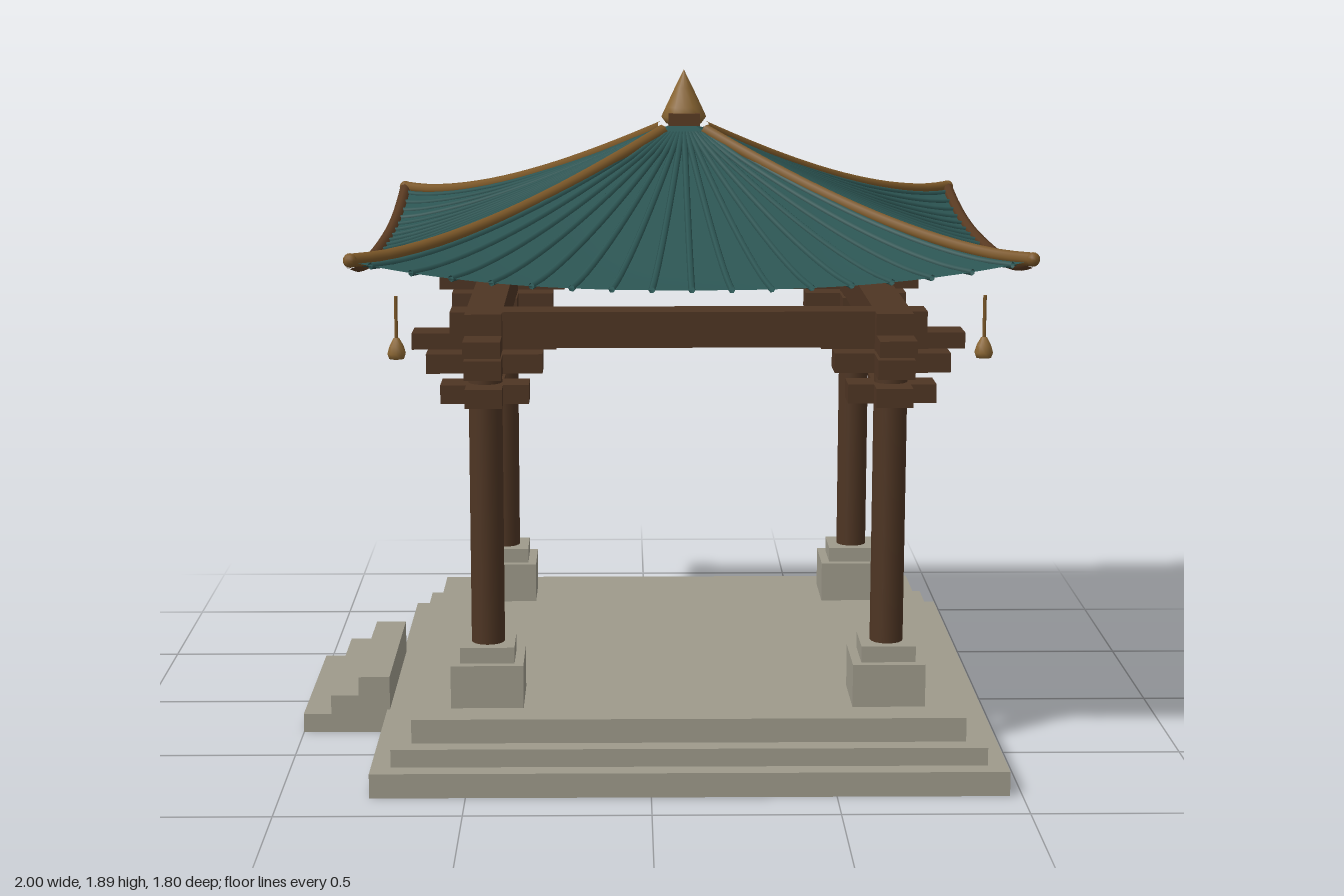
import * as THREE from 'three';

const mat = (name, color, opts = {}) => Object.assign(new THREE.MeshStandardMaterial({ color, ...opts }), { name });

const HALF = 0.88;   // half width of the roof
const POST = 0.553;  // column offset from the centre

// Height of the curved roof: s runs apex to eave, t runs along the eave (-1..1)
const roofY = (s, t) => 1.38 + 0.37 * Math.pow(1 - s, 1.25) + 0.075 * s ** 3 * Math.pow(Math.abs(t), 2.5);
const roofPoint = (s, t, lift = 0) => new THREE.Vector3(s * HALF * t, roofY(s, t) + lift, s * HALF);

export function createModel() {
  const stone = mat('stone', 0x9e9a8b);
  const wood = mat('darkWood', 0x4e3523);
  const eaveWood = mat('eaveWood', 0x5a3b22);
  const tile = mat('tealTile', 0x2c5553, { side: THREE.DoubleSide });
  const bronze = mat('bronze', 0x7b5728);
  const gold = mat('gold', 0x8a6633);

  const model = new THREE.Group();
  model.name = 'pavilion';
  const body = new THREE.Group();
  body.name = 'pavilionBody';
  body.position.x = 0.104;
  model.add(body);

  const add = (parent, name, geo, material, x = 0, y = 0, z = 0) => {
    const mesh = new THREE.Mesh(geo, material);
    mesh.name = name;
    mesh.position.set(x, y, z);
    parent.add(mesh);
    return mesh;
  };
  // Box given by its bottom and top heights
  const slab = (parent, name, material, w, y0, y1, d, x = 0, z = 0) =>
    add(parent, name, new THREE.BoxGeometry(w, y1 - y0, d), material, x, (y0 + y1) / 2, z);
  const tube = (parent, name, points, radius, material, sides = 8) =>
    add(parent, name, new THREE.TubeGeometry(new THREE.CatmullRomCurve3(points), 20, radius, sides), material);
  const lathe = (pts, sides) => new THREE.LatheGeometry(pts.map(p => new THREE.Vector2(...p)), sides);

  // Stepped platform
  [[0.862, 0, 0.068], [0.808, 0.068, 0.118], [0.755, 0.118, 0.185]].forEach(([h, y0, y1], i) =>
    slab(body, 'platformTier' + (i + 1), stone, h * 2, y0, y1, h * 2));

  // Entrance steps on the right side
  [[-1, -0.92, 0.055], [-0.92, -0.84, 0.11], [-0.84, -0.75, 0.165]].forEach(([x0, x1, top], i) =>
    slab(model, 'entranceStep' + (i + 1), stone, x1 - x0, 0, top, 0.59, (x0 + x1) / 2));

  // Columns with plinths, crossed brackets and hanging bells
  const bellGeo = lathe([[0, 1.182], [0.02, 1.184], [0.025, 1.198], [0.019, 1.218], [0.008, 1.238], [0, 1.242]], 10);
  for (const sx of [-1, 1]) for (const sz of [-1, 1]) {
    const corner = new THREE.Group();
    corner.name = 'cornerPost';
    corner.position.set(sx * POST, 0, sz * POST);
    body.add(corner);
    slab(corner, 'plinth', stone, 0.2, 0.185, 0.305, 0.2);
    slab(corner, 'plinthCap', stone, 0.15, 0.305, 0.35, 0.15);
    add(corner, 'column', new THREE.CylinderGeometry(0.046, 0.046, 0.9, 16), wood, 0, 0.8, 0);
    [[0.24, 1.028, 1.08], [0.315, 1.112, 1.165], [0.39, 1.178, 1.222]].forEach(([len, y0, y1]) => {
      slab(corner, 'bracketArmX', wood, len, y0, y1, 0.1);
      slab(corner, 'bracketArmZ', wood, 0.1, y0, y1, len);
    });
    const bell = new THREE.Group();
    bell.name = 'hangingBell';
    bell.position.set(sx * 0.221, 0, sz * 0.221);
    corner.add(bell);
    add(bell, 'bell', bellGeo, gold);
    add(bell, 'bellRod', new THREE.CylinderGeometry(0.005, 0.005, 0.12, 6), bronze, 0, 1.29, 0);
  }

  // Ring beams
  for (const s of [-1, 1]) {
    slab(body, 'beamX', wood, 1.29, 1.182, 1.28, 0.1, 0, s * POST);
    slab(body, 'beamZ', wood, 0.1, 1.182, 1.28, 1.29, s * POST, 0);
  }

  // Curved hipped roof: one side built by rule, turned four times
  const sideGeo = new THREE.PlaneGeometry(2, 1, 28, 18);
  const pos = sideGeo.attributes.position;
  for (let i = 0; i < pos.count; i++) {
    const p = roofPoint(0.5 - pos.getY(i), pos.getX(i));
    pos.setXYZ(i, p.x, p.y, p.z);
  }
  sideGeo.computeVertexNormals();

  const line = [...Array(13).keys()];
  const RIBS = 17;
  for (let k = 0; k < 4; k++) {
    const side = new THREE.Group();
    side.name = 'roofSide' + (k + 1);
    side.rotation.y = k * Math.PI / 2;
    body.add(side);
    add(side, 'roofSurface', sideGeo, tile);
    for (let r = 0; r < RIBS; r++) {
      const t = ((r + 0.5) / RIBS) * 2 - 1;
      tube(side, 'tileRib', line.map(i => roofPoint(0.08 + 0.92 * i / 12, t)), 0.009, tile, 6);
    }
    tube(side, 'hipRidge', line.map(i => roofPoint(0.07 + 0.93 * i / 12, 1, 0.004)), 0.018, bronze);
    add(side, 'ridgeTip', new THREE.SphereGeometry(0.019, 10, 8), bronze, HALF, roofY(1, 1) + 0.004, HALF);
    // Rounded eave trim on the left and right sides only
    if (k % 2) tube(side, 'eaveTrim', line.map(i => roofPoint(1, i / 6 - 1)), 0.018, eaveWood);
  }

  // Crown and finial
  slab(body, 'crownBlock', eaveWood, 0.09, 1.735, 1.77, 0.15);
  const finial = lathe([[0, 1.735], [0.05, 1.737], [0.065, 1.757], [0.052, 1.785], [0.026, 1.84], [0, 1.892]], 12);
  add(body, 'finial', finial, gold);

  return model;
}
